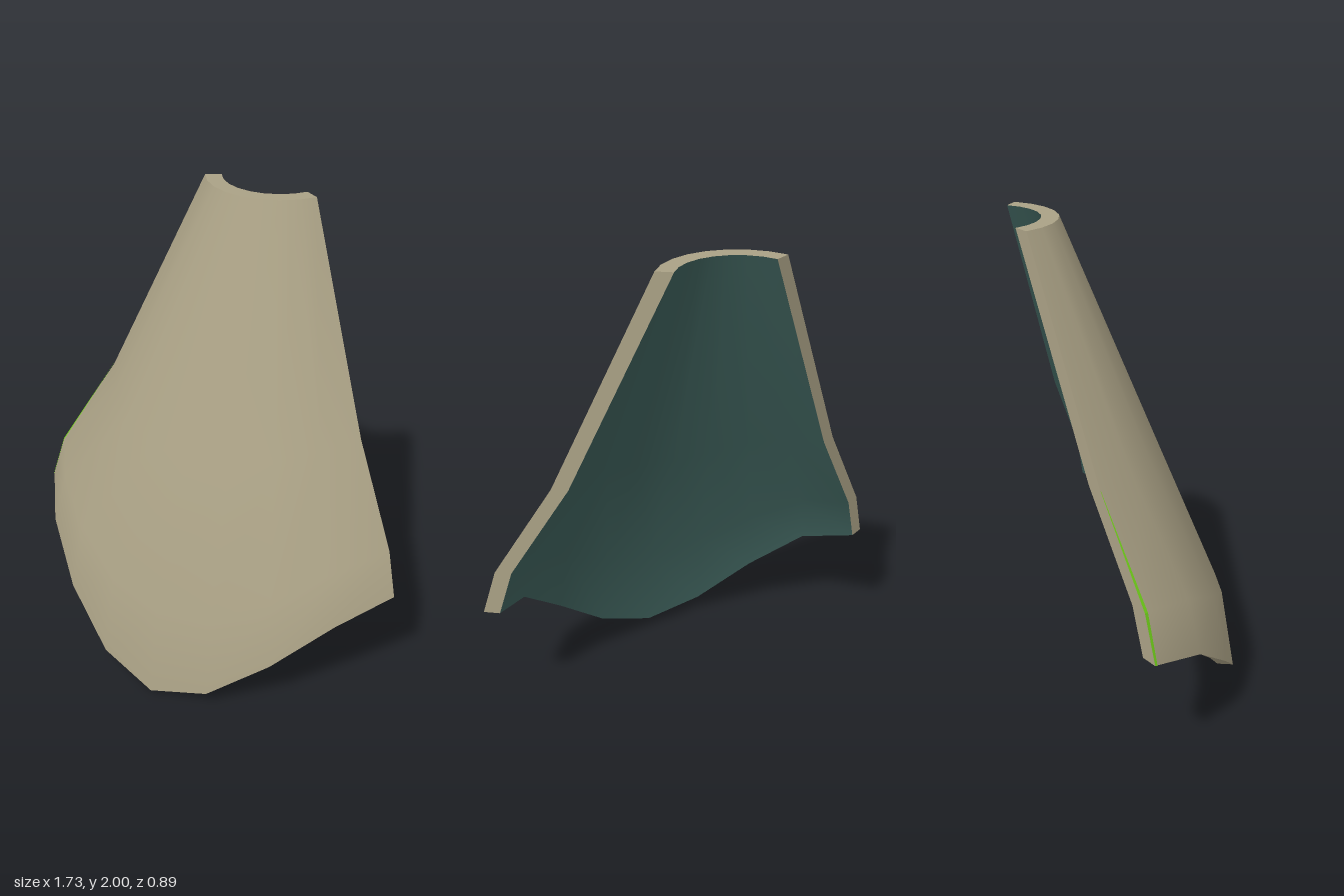
import * as THREE from 'three';

const AXIS_Z = -0.558, HALF = Math.PI / 3, SEGS = 8, THICK = 0.067;
// rings from top to hem: radius, height at the centre line, share of the hem rise
const RINGS = [[0.29, 2, 0], [0.693, 1.0, 0.24], [0.94, 0.39, 0.64], [1.0, 0, 1]];
// rise of the hem at each 15 degree step away from the centre
const RISE = [0, 0.083, 0.275, 0.465, 0.545];

// point on the flared shell; col 0..SEGS runs from -x to +x, inset is radial
function shell(col, row, inset) {
  const a = (col / SEGS * 2 - 1) * HALF;
  const [r, y, share] = RINGS[row];
  const k = Math.abs(col - SEGS / 2), i = Math.min(Math.floor(k), 3);
  const rise = RISE[i] + (RISE[i + 1] - RISE[i]) * (k - i);
  const rad = r - inset;
  return [Math.sin(a) * rad, y + rise * share, AXIS_Z + Math.cos(a) * rad];
}

// grid surface, rows downward and columns to the right when seen from its front
function grid(cols, rows, point, smooth, flip = false) {
  const pos = [], idx = [];
  for (let r = 0; r <= rows; r++) for (let c = 0; c <= cols; c++) pos.push(...point(c, r));
  for (let r = 0; r < rows; r++) for (let c = 0; c < cols; c++) {
    const a = r * (cols + 1) + c, b = a + 1, d = a + cols + 1, e = d + 1;
    if (flip) idx.push(a, b, d, b, e, d);
    else idx.push(a, d, b, b, d, e);
  }
  let g = new THREE.BufferGeometry();
  g.setAttribute('position', new THREE.Float32BufferAttribute(pos, 3));
  g.setIndex(idx);
  if (!smooth) g = g.toNonIndexed();
  g.computeVertexNormals();
  return g;
}

export function createModel() {
  const group = new THREE.Group();
  group.name = 'curvedPlate';
  const material = (name, color) => {
    const m = new THREE.MeshStandardMaterial({ color });
    m.name = name;
    return m;
  };
  const beige = material('beige', 0xaaa185);
  const teal = material('darkTeal', 0x3d5f5a);
  const green = material('brightGreen', 0x6fcc1a);
  const add = (name, geometry, mat) => {
    const mesh = new THREE.Mesh(geometry, mat);
    mesh.name = name;
    group.add(mesh);
  };
  const last = RINGS.length - 1;

  // outer and inner faces
  add('outerFace', grid(SEGS, last, (c, r) => shell(c, r, 0), true), beige);
  add('innerFace', grid(SEGS, last, (c, r) => shell(c, r, THICK), true, true), teal);

  // rims closing the thickness
  add('topRim', grid(SEGS, 1, (c, r) => shell(c, 0, r ? 0 : THICK), false), beige);
  add('hemRim', grid(SEGS, 1, (c, r) => shell(c, last, r ? THICK : 0), false), beige);
  add('leftRim', grid(1, last, (c, r) => shell(SEGS, r, c ? THICK : 0), false), beige);
  add('rightRim', grid(1, last, (c, r) => shell(0, r, c ? 0 : THICK), false), beige);

  // hairline trim on the lower right edge
  add('edgeTrim', grid(1, last - 1, (c, r) => shell(c * [0.01, 0.06, 0.04][r], r + 1, -0.002), false), green);

  return group;
}
